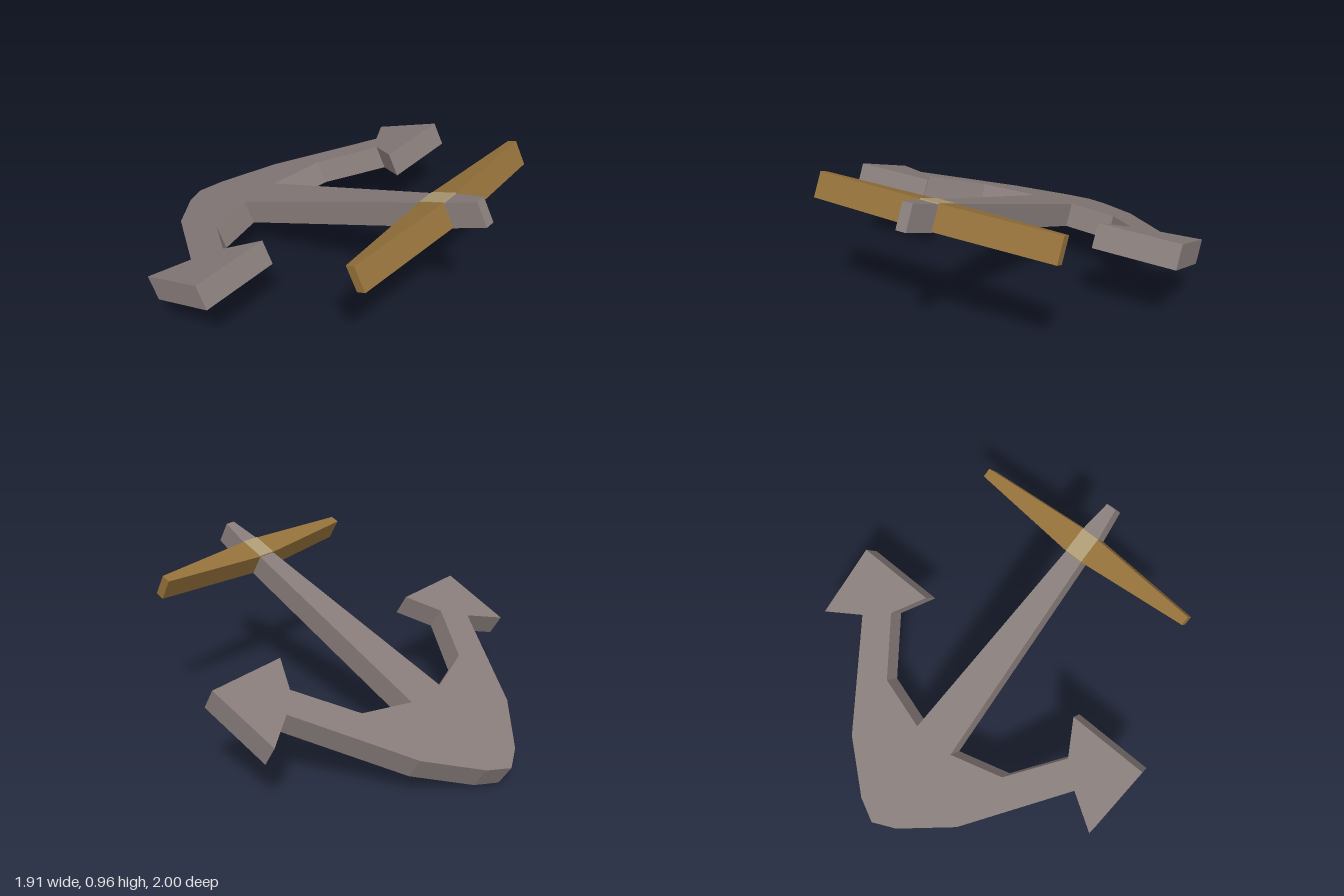
import * as THREE from 'three';

// Everything lies on one sloping plane; parts are plan outlines (x, z) with skirts below.
const planeY = (z) => 0.113 + (z + 1) * 0.4356;
const DROP_Y = 0.113, DROP_Z = 0.065;

// Completes a right-hand outline (back to front, +x) with its mirror image.
function mirrored(half) {
  const left = half.filter(([x]) => x > 0).map(([x, z]) => [-x, z]).reverse();
  return [...half, ...left];
}

// Top sheet plus side walls, open underneath unless closed.
function slab(name, outline, color, lift = 0, depth = 1, closed = false) {
  const top = outline.map(([x, z]) => new THREE.Vector3(x, planeY(z) + lift, z));
  const low = top.map((p) => new THREE.Vector3(p.x, p.y - DROP_Y * depth, p.z + DROP_Z * depth));
  const pts = [];
  const contour = outline.map(([x, z]) => new THREE.Vector2(x, z));
  for (const [a, b, c] of THREE.ShapeUtils.triangulateShape(contour, [])) {
    pts.push(top[c], top[b], top[a]);
    if (closed) pts.push(low[a], low[b], low[c]);
  }
  top.forEach((p, i) => {
    const j = (i + 1) % top.length;
    pts.push(p, top[j], low[j], p, low[j], low[i]);
  });
  const geometry = new THREE.BufferGeometry().setFromPoints(pts);
  geometry.computeVertexNormals();
  const material = new THREE.MeshStandardMaterial({ color, flatShading: true, side: THREE.DoubleSide });
  const mesh = new THREE.Mesh(geometry, material);
  mesh.name = name;
  return mesh;
}

export function createModel() {
  const group = new THREE.Group();
  group.name = 'anchor';

  // Crown, arms, flukes and shank in one outline
  group.add(slab('anchorBody', mirrored([
    [0, -1], [0.13, -0.94], [0.385, -0.73], [0.75, -0.22],
    [0.942, -0.33], [0.957, 0.05], [0.512, 0.05], [0.622, -0.12],
    [0.413, -0.395], [0.12, -0.475],
    [0.05, 0.645], [0.05, 0.775], [0.027, 0.935],
  ]), 0x877c7a));

  // Wooden cross bar, tapering to both ends
  group.add(slab('stock', mirrored([
    [0.05, 0.645], [0.655, 0.693], [0.655, 0.738], [0.05, 0.775],
  ]), 0x93703a, 0.003));

  // Pale patch where the shank passes through the stock
  group.add(slab('stockCentre', mirrored([
    [0.05, 0.645], [0.05, 0.775],
  ]), 0xae9b74, 0.006, 0.08, true));

  return group;
}
